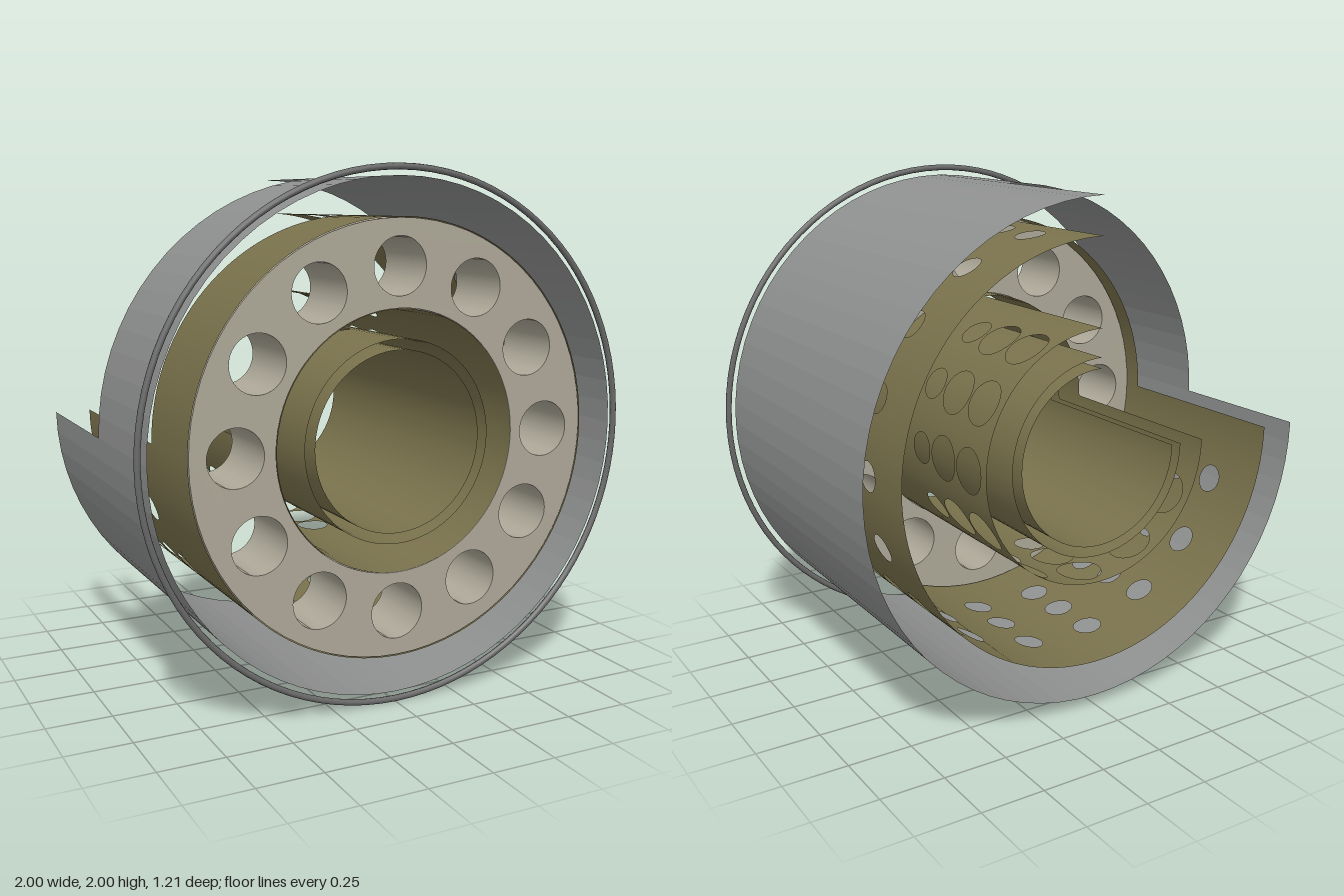
import * as THREE from 'three';
import { mergeGeometries } from 'three/addons/utils/BufferGeometryUtils.js';

const BACK = -0.605, FRONT = 0.6, RAD = Math.PI / 180;
const paint = (color, flatShading = false) =>
  new THREE.MeshStandardMaterial({ color, flatShading, side: THREE.DoubleSide });

// Open tube wall along z between two angles (degrees, 0 = +x, 90 = up)
function wall(r, z0, z1, start, sweep, step) {
  const g = new THREE.CylinderGeometry(r, r, z1 - z0, Math.round(sweep / step), 1, true, (start + 90) * RAD, sweep * RAD);
  return g.rotateX(Math.PI / 2).translate(0, 0, (z0 + z1) / 2).toNonIndexed();
}

// Tube whose upper right quarter is missing behind z = cut
function tube(r, z0, z1, cut, step) {
  const parts = [];
  if (z0 < cut) parts.push(wall(r, z0, Math.min(z1, cut), 180, 270, step));
  if (z1 > cut) parts.push(wall(r, Math.max(z0, cut), z1, 0, 360, step));
  return parts;
}

// One band of equal curved cells with round holes, left open in the cutaway;
// cells that lie on an edge of the cutaway stay solid
function punchedBand(r, [z0, z1, hole], count, cut) {
  const pos = [], nor = [], uv = [];
  const N = 32, RINGS = 3, hu = Math.PI / count, hv = (z1 - z0) / 2, zc = (z0 + z1) / 2;
  const side = (p) => THREE.MathUtils.clamp(2 - 8 * Math.abs(p - Math.round(p)), -1, 1);
  const point = (i, t, h) => {
    const p = i / N, a = p * 2 * Math.PI;
    return [THREE.MathUtils.lerp((Math.cos(a) * h) / r, side(p) * hu, t),
      zc + THREE.MathUtils.lerp(Math.sin(a) * h, side(p - 0.25) * hv, t)];
  };
  for (let k = 0; k < count; k++) {
    const mid = (k * 2 * Math.PI) / count;
    const onEdge = Math.abs(mid - Math.PI) < 0.01 || Math.abs(mid - Math.PI / 2) < 0.01;
    const h = onEdge ? 0 : hole;
    for (let i = 0; i < N; i++) {
      const f = mid + point(i + 0.5, 0.5, h)[0];
      const open = Math.cos(f) < 0 && Math.sin(f) > 0;
      if (open && z1 <= cut) continue;
      for (let j = 0; j < RINGS; j++) {
        const quad = [[i, j], [i, j + 1], [i + 1, j + 1], [i + 1, j]].map(([a, b]) => point(a, b / RINGS, h));
        for (const q of [0, 1, 2, 0, 2, 3]) {
          const u = mid + quad[q][0], z = quad[q][1];
          pos.push(r * Math.cos(u), r * Math.sin(u), z);
          nor.push(Math.cos(u), Math.sin(u), 0);
          uv.push(u, z);
        }
      }
    }
  }
  const g = new THREE.BufferGeometry();
  g.setAttribute('position', new THREE.Float32BufferAttribute(pos, 3));
  g.setAttribute('normal', new THREE.Float32BufferAttribute(nor, 3));
  g.setAttribute('uv', new THREE.Float32BufferAttribute(uv, 2));
  return g;
}

// Full-length plain shell
const plainShell = (r, cut) => mergeGeometries(tube(r, BACK, FRONT, cut, 5));

// Full-length shell with bands of holes
function punchedShell(r, cut, bands, count) {
  const step = 45 / count;
  return mergeGeometries([
    ...tube(r, BACK, bands[0][0], cut, step),
    ...bands.map((b) => punchedBand(r, b, count, cut)),
    ...tube(r, bands[bands.length - 1][1], FRONT, cut, step),
  ]);
}

export function createModel() {
  const model = new THREE.Group();
  const grey = paint(0x8f9190, true), olive = paint(0x7a724c), beige = paint(0xada898), dark = paint(0x686868);
  const add = (name, geometry, material) => {
    const mesh = new THREE.Mesh(geometry, material);
    mesh.name = name;
    mesh.position.y = 1;
    model.add(mesh);
  };

  // Outer casing and the thin ring around its front
  add('outerCasing', plainShell(0.957, 0.03), grey);
  add('frontRing', new THREE.TorusGeometry(0.988, 0.012, 10, 96).translate(0, 0, 0.592), dark);

  // Perforated liners
  add('outerLiner', punchedShell(0.815, 0.22,
    [[-0.45, -0.24, 0.056], [-0.24, -0.035, 0.056], [-0.035, 0.135, 0.056]], 18), olive);
  add('innerLiner', punchedShell(0.487, 0.22,
    [[-0.575, -0.387, 0.086], [-0.387, -0.205, 0.086], [-0.205, -0.055, 0.062]], 12), olive);

  // Central casing and shaft tube
  add('innerCasing', plainShell(0.38, 0.22), olive);
  add('shaftTube', plainShell(0.34, 0.22), olive);

  // Thick annular block with twelve through holes
  const ring = new THREE.Shape().absarc(0, 0, 0.811, 0, Math.PI * 2);
  ring.holes.push(new THREE.Path().absarc(0, 0, 0.49, 0, Math.PI * 2, true));
  for (let i = 0; i < 12; i++) {
    const a = i * 30 * RAD;
    ring.holes.push(new THREE.Path().absarc(0.64 * Math.cos(a), 0.64 * Math.sin(a), 0.107, 0, Math.PI * 2, true));
  }
  add('burnerPlate', new THREE.ExtrudeGeometry(ring, { depth: 0.3, bevelEnabled: false, curveSegments: 36 })
    .translate(0, 0, 0.298), beige);

  return model;
}
